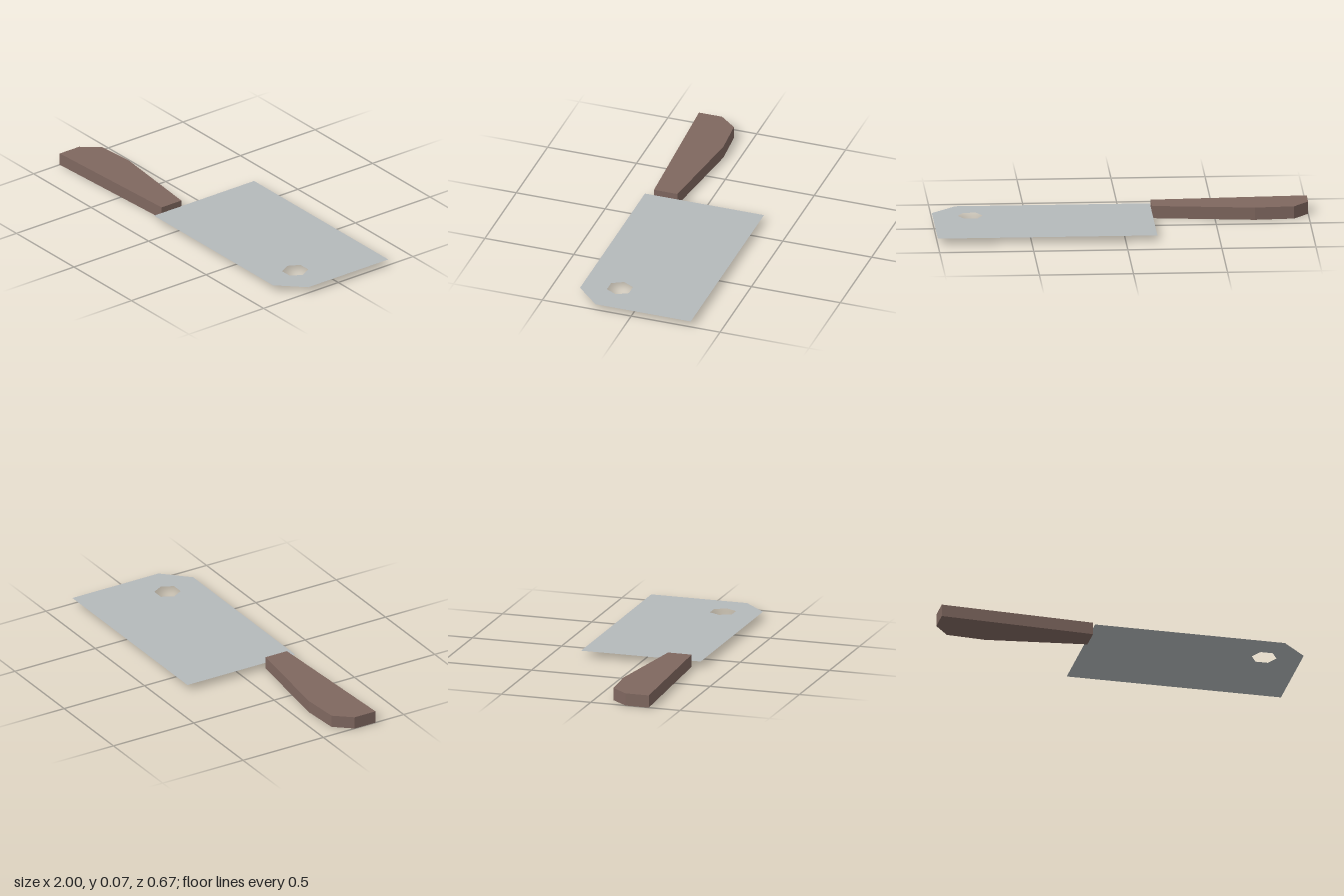
import * as THREE from 'three';

const HANDLE_HEIGHT = 0.067;

// Outline points are [x, z] as seen from above
const outline = (points) => points.map(([x, z]) => new THREE.Vector2(x, -z));

export function createModel() {
  const group = new THREE.Group();
  group.name = 'cleaver';

  const steel = new THREE.MeshStandardMaterial({ color: 0xb4b9bb, side: THREE.DoubleSide });
  steel.name = 'steel';
  const wood = new THREE.MeshStandardMaterial({ color: 0x7f675f });
  wood.name = 'wood';

  // Handle: tapered slab with a clipped butt
  const handleShape = new THREE.Shape(outline([
    [-1, 0.325], [-0.167, 0.284], [-0.167, 0.152],
    [-0.71, 0.085], [-0.92, 0.1], [-1, 0.195],
  ]));
  const handleGeometry = new THREE.ExtrudeGeometry(handleShape, { depth: HANDLE_HEIGHT, bevelEnabled: false });
  handleGeometry.rotateX(-Math.PI / 2);
  const handle = new THREE.Mesh(handleGeometry, wood);
  handle.name = 'handle';
  group.add(handle);

  // Blade: thin sheet with one cut corner
  const bladeShape = new THREE.Shape(outline([
    [-0.167, 0.335], [0.867, 0.335], [1, 0.201], [1, -0.335], [-0.167, -0.335],
  ]));

  // Six-sided hanging hole
  const hole = [];
  for (let i = 0; i < 6; i++) {
    const a = (i * Math.PI) / 3;
    hole.push([0.8 + 0.067 * Math.cos(a), 0.134 + 0.071 * Math.sin(a)]);
  }
  bladeShape.holes.push(new THREE.Path(outline(hole)));

  const bladeGeometry = new THREE.ShapeGeometry(bladeShape);
  bladeGeometry.rotateX(-Math.PI / 2);
  const blade = new THREE.Mesh(bladeGeometry, steel);
  blade.name = 'blade';
  blade.position.y = HANDLE_HEIGHT / 2;
  group.add(blade);

  return group;
}
